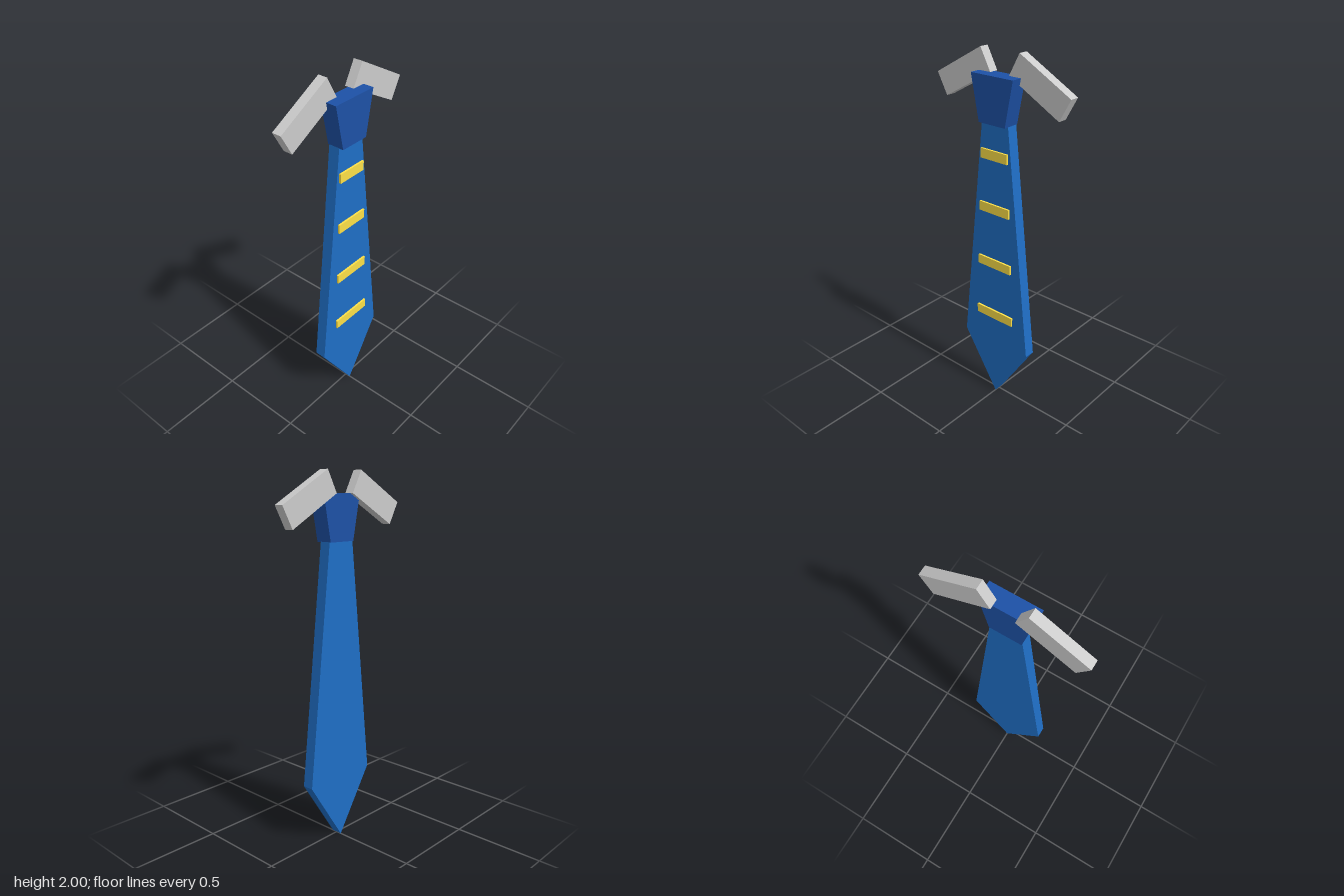
import * as THREE from 'three';

const material = (color) => new THREE.MeshStandardMaterial({ color, flatShading: true });

// Flat outline extruded between two z planes
function slab(name, points, zBack, zFront, mat) {
  const shape = new THREE.Shape(points.map(([x, y]) => new THREE.Vector2(x, y)));
  const geometry = new THREE.ExtrudeGeometry(shape, { depth: zFront - zBack, bevelEnabled: false });
  geometry.translate(0, 0, zBack);
  const mesh = new THREE.Mesh(geometry, mat);
  mesh.name = name;
  return mesh;
}

function box(name, size, position, mat) {
  const mesh = new THREE.Mesh(new THREE.BoxGeometry(...size), mat);
  mesh.name = name;
  mesh.position.set(...position);
  return mesh;
}

export function createModel() {
  const model = new THREE.Group();
  model.name = 'necktie';
  const blue = material(0x1f6ec5);
  const darkBlue = material(0x1d51a6);
  const yellow = material(0xfde047);
  const grey = material(0xcccccc);

  // Long blade ending in a point
  model.add(slab('blade',
    [[0, 0], [0.227, 0.35], [0.085, 1.65], [-0.085, 1.65], [-0.227, 0.35]], -0.031, 0.031, blue));

  // Knot, wider at the top
  model.add(slab('knot',
    [[-0.085, 1.645], [0.085, 1.645], [0.133, 1.885], [-0.133, 1.885]], -0.038, 0.055, darkBlue));

  // Raised stripes, wider towards the tip
  const stripes = new THREE.Group();
  stripes.name = 'stripes';
  for (const [y, width] of [[1.482, 0.175], [1.187, 0.198], [0.863, 0.224], [0.539, 0.25]]) {
    stripes.add(box('stripe', [width, 0.052, 0.014], [0, y, 0.035], yellow));
  }
  model.add(stripes);

  // Collar wings sloping down to each side, behind the knot
  for (const side of [1, -1]) {
    const wing = box(side > 0 ? 'leftCollar' : 'rightCollar',
      [0.344, 0.131, 0.052], [side * 0.242, 1.86, -0.03], grey);
    wing.rotation.z = -side * 0.5;
    model.add(wing);
  }
  return model;
}
